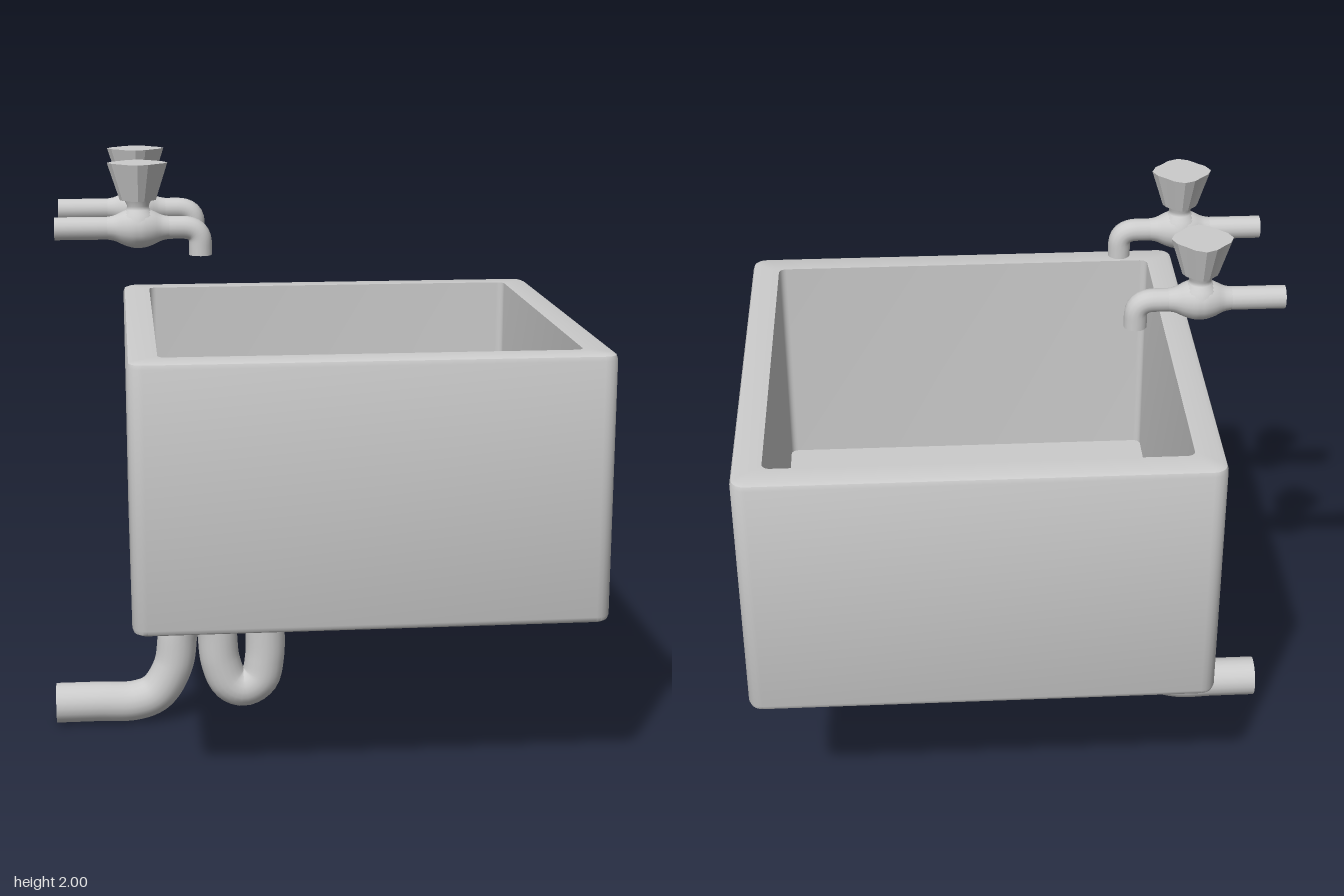
import * as THREE from 'three';
import { toCreasedNormals } from 'three/addons/utils/BufferGeometryUtils.js';

const material = new THREE.MeshStandardMaterial({ color: 0xcccccc });
const openMaterial = new THREE.MeshStandardMaterial({ color: 0xcccccc, side: THREE.DoubleSide });
const V = (x, y, z = 0) => new THREE.Vector3(x, y, z);

function part(name, geometry, parent, mat = material) {
  const mesh = new THREE.Mesh(geometry, mat);
  mesh.name = name;
  parent.add(mesh);
  return mesh;
}

// Skin a list of equal-length rings, capping both ends with a fan
function loft(rings, crease) {
  const pos = [];
  const tri = (...pts) => pts.forEach((p) => pos.push(p.x, p.y, p.z));
  const n = rings[0].length;
  const middle = (ring) => ring.reduce((s, p) => s.add(p), V(0, 0)).divideScalar(n);
  const first = rings[0], last = rings[rings.length - 1];
  const c0 = middle(first), c1 = middle(last);
  for (let k = 0; k < n; k++) {
    const m = (k + 1) % n;
    tri(c0, first[k], first[m]);
    for (let i = 0; i < rings.length - 1; i++) {
      const a = rings[i], b = rings[i + 1];
      tri(a[k], b[k], a[m]);
      tri(a[m], b[k], b[m]);
    }
    tri(c1, last[m], last[k]);
  }
  const g = new THREE.BufferGeometry();
  g.setAttribute('position', new THREE.Float32BufferAttribute(pos, 3));
  return toCreasedNormals(g, crease);
}

// Horizontal rounded rectangle
function roundedRing(hx, hz, r, y) {
  const pts = [];
  for (let q = 0; q < 4; q++) {
    const sx = q === 0 || q === 3 ? 1 : -1, sz = q < 2 ? 1 : -1;
    for (let i = 0; i <= 5; i++) {
      const a = (q + i / 5) * Math.PI / 2;
      pts.push(V(sx * (hx - r) + r * Math.cos(a), y, sz * (hz - r) + r * Math.sin(a)));
    }
  }
  return pts;
}

// Four-lobed ring for the tap handle
function lobedRing(r, y) {
  return Array.from({ length: 16 }, (_, i) => {
    const a = i / 16 * Math.PI * 2;
    const d = r * (0.92 + 0.08 * Math.cos(4 * a));
    return V(d * Math.cos(a), y, d * Math.sin(a));
  });
}

function createTap() {
  const tap = new THREE.Group();

  // Inlet and downturned spout in one bent pipe
  const path = new THREE.CurvePath();
  path.add(new THREE.LineCurve3(V(-0.27, 1.79), V(0.14, 1.79)));
  path.add(new THREE.QuadraticBezierCurve3(V(0.14, 1.79), V(0.2, 1.79), V(0.2, 1.74)));
  path.add(new THREE.LineCurve3(V(0.2, 1.74), V(0.2, 1.7)));
  part('spoutPipe', new THREE.TubeGeometry(path, 48, 0.037, 16, false), tap, openMaterial);

  // Bulging valve body along the pipe
  const body = [[0.037, -0.1], [0.042, -0.075], [0.055, -0.048], [0.064, -0.02], [0.065, 0],
    [0.064, 0.02], [0.055, 0.048], [0.042, 0.075], [0.037, 0.1]].map((p) => new THREE.Vector2(...p));
  const bodyGeometry = new THREE.LatheGeometry(new THREE.SplineCurve(body).getPoints(20), 20);
  part('valveBody', bodyGeometry.rotateZ(-Math.PI / 2).translate(0, 1.79, 0), tap);

  // Waisted stem below the handle
  const stem = [[0.062, 1.81], [0.054, 1.835], [0.037, 1.85], [0.035, 1.862], [0.045, 1.885]]
    .map((p) => new THREE.Vector2(...p));
  part('stem', new THREE.LatheGeometry(stem, 20), tap, openMaterial);

  // Flared handle
  part('handle', loft([lobedRing(0.058, 1.88), lobedRing(0.097, 2)], 0.2), tap);
  return tap;
}

export function createModel() {
  const model = new THREE.Group();
  model.name = 'sinkWithTaps';

  // Basin: outer shell, rounded rim, inner walls and floor
  const rings = [
    [0.745, 0.745, 0.035, 0.58], [0.755, 0.755, 0.043, 0.586], [0.76, 0.76, 0.048, 0.6],
    [0.76, 0.76, 0.048, 1.43], [0.755, 0.755, 0.043, 1.444], [0.74, 0.74, 0.03, 1.45],
    [0.665, 0.665, 0.025, 1.45], [0.665, 0.665, 0.025, 0.68],
  ].map((r) => roundedRing(...r));
  part('basin', loft(rings, 0.7), model).position.x = 0.13;

  // Drain on the basin floor
  part('drain', toCreasedNormals(new THREE.CylinderGeometry(0.098, 0.098, 0.02, 8), 0.5), model)
    .position.set(-0.34, 0.685, 0);

  // Waste pipe with its trap bend
  const bend = [[-0.9, 0.07], [-0.75, 0.07], [-0.62, 0.07], [-0.545, 0.1], [-0.485, 0.2],
    [-0.465, 0.33], [-0.44, 0.41], [-0.39, 0.442], [-0.345, 0.41], [-0.33, 0.33], [-0.318, 0.21],
    [-0.285, 0.13], [-0.235, 0.108], [-0.18, 0.14], [-0.16, 0.22], [-0.16, 0.4], [-0.16, 0.6]];
  const pipePath = new THREE.CatmullRomCurve3(bend.map(([x, y]) => V(x, y, -0.035)));
  part('wastePipe', new THREE.TubeGeometry(pipePath, 110, 0.07, 20, false), model, openMaterial);

  // Pair of taps
  [['leftTap', 0.22], ['rightTap', -0.283]].forEach(([name, z]) => {
    const tap = createTap();
    tap.name = name;
    tap.position.set(-0.58, 0, z);
    model.add(tap);
  });
  return model;
}
